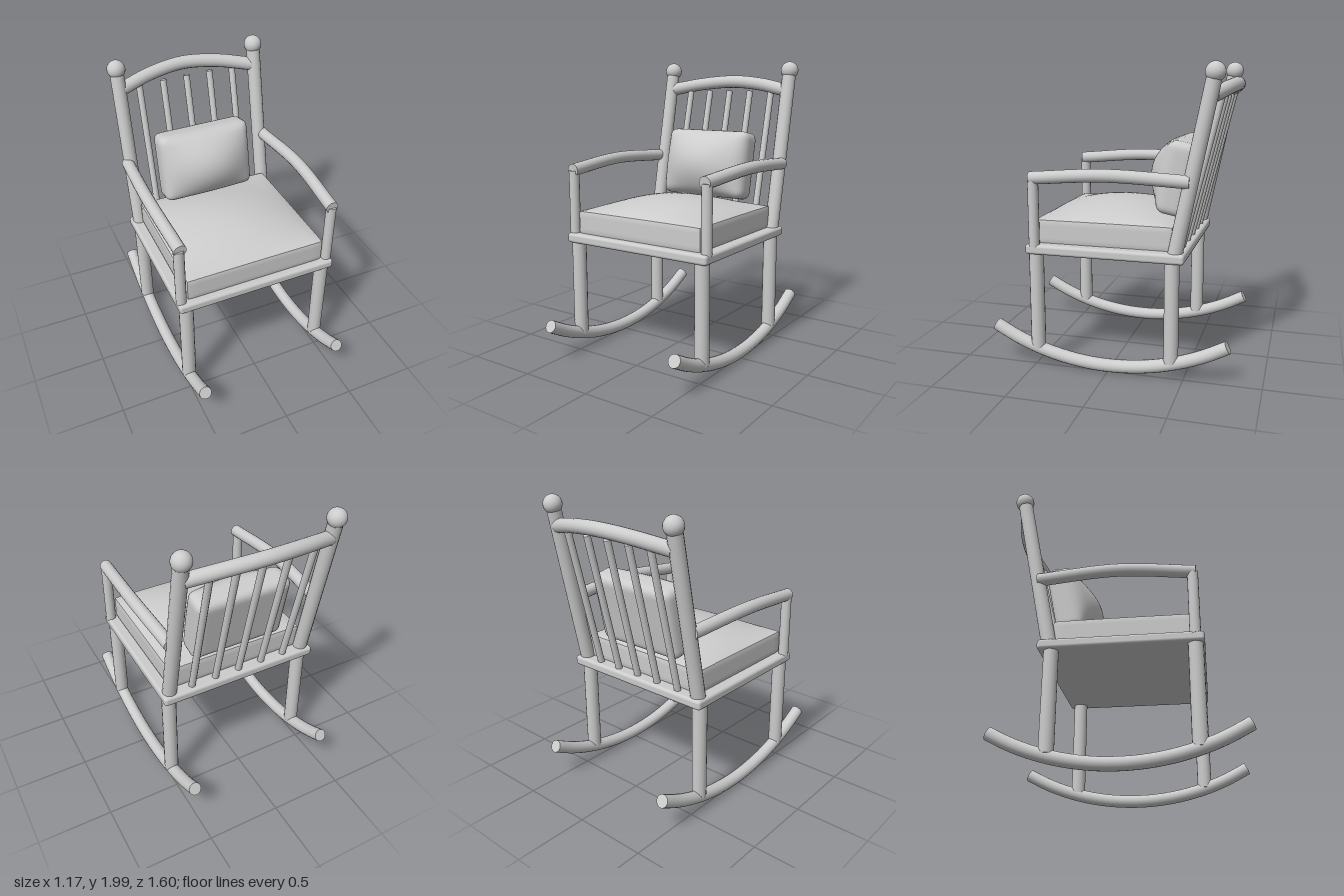
import * as THREE from 'three';
import { mergeVertices, toCreasedNormals } from 'three/addons/utils/BufferGeometryUtils.js';
import { RoundedBoxGeometry } from 'three/addons/geometries/RoundedBoxGeometry.js';

const V = (x, y, z) => new THREE.Vector3(x, y, z);

// Box with softened edges and a domed top face
function cushionGeometry(w, h, d, r, dome) {
  let g = new THREE.BoxGeometry(w, h, d, 24, 8, 24);
  g.deleteAttribute('uv');
  g.deleteAttribute('normal');
  g = mergeVertices(g);
  const pos = g.attributes.position;
  const limit = V(w / 2 - r, h / 2 - r, d / 2 - r);
  const low = limit.clone().negate();
  const p = V(0, 0, 0);
  for (let i = 0; i < pos.count; i++) {
    p.fromBufferAttribute(pos, i);
    const inner = p.clone().clamp(low, limit);
    p.sub(inner).normalize().multiplyScalar(r).add(inner);
    if (p.y > h / 2 - r + 1e-4) {
      const u = (2 * p.x) / w, v = (2 * p.z) / d;
      p.y += dome * (1 - u * u) * (1 - v * v);
    }
    pos.setXYZ(i, p.x, p.y, p.z);
  }
  return toCreasedNormals(g, 0.6);
}

export function createModel() {
  const model = new THREE.Group();
  model.name = 'rockingChair';
  const grey = new THREE.MeshStandardMaterial({ color: 0xcccccc });
  grey.name = 'light grey';

  function add(name, geometry, position, parent = model) {
    const mesh = new THREE.Mesh(geometry, grey);
    mesh.name = name;
    if (position) mesh.position.copy(position);
    parent.add(mesh);
    return mesh;
  }

  // Straight round bar between two points
  function bar(name, a, b, r, sides = 16) {
    const dir = b.clone().sub(a);
    const mesh = add(name, new THREE.CylinderGeometry(r, r, dir.length(), sides),
      a.clone().add(b).multiplyScalar(0.5));
    mesh.quaternion.setFromUnitVectors(V(0, 1, 0), dir.normalize());
    return mesh;
  }

  // Bent round bar with closed ends
  function bentBar(name, points, r) {
    const group = new THREE.Group();
    group.name = name;
    model.add(group);
    const curve = new THREE.CatmullRomCurve3(points);
    add(name + 'Tube', new THREE.TubeGeometry(curve, 28, r, 16), null, group);
    for (const t of [0, 1]) {
      const out = curve.getTangent(t).multiplyScalar(t ? 1 : -1);
      const cap = add(name + 'End', new THREE.CircleGeometry(r, 16), curve.getPoint(t), group);
      cap.quaternion.setFromUnitVectors(V(0, 0, 1), out);
    }
  }

  // Seat board and cushions
  add('seatBoard', new RoundedBoxGeometry(1.12, 0.065, 1.04, 3, 0.02), V(0, 0.812, 0.017));
  add('seatCushion', cushionGeometry(0.98, 0.16, 0.91, 0.015, 0.092), V(0, 0.92, 0.035));
  const pillow = add('backPillow', cushionGeometry(0.66, 0.18, 0.48, 0.05, 0.13), V(0, 1.268, -0.4));
  pillow.rotation.x = Math.PI / 2 - 0.2;

  for (const s of [1, -1]) {
    const side = s > 0 ? 'left' : 'right';

    // Rocker: a circular arc
    const R = 1.553, half = Math.asin(0.78 / R), arc = [];
    for (let i = 0; i <= 10; i++) {
      const a = half * (1 - i / 5);
      arc.push(V(s * 0.5, 0.05 + R * (1 - Math.cos(a)), R * Math.sin(a)));
    }
    bentBar(side + 'Rocker', arc, 0.043);

    // Legs
    bar(side + 'FrontLeg', V(s * 0.5, 0.13, 0.48), V(s * 0.5, 0.8, 0.48), 0.048);
    bar(side + 'BackLeg', V(s * 0.5, 0.12, -0.42), V(s * 0.5, 0.8, -0.42), 0.048);

    // Arm rest and its post
    bar(side + 'ArmPost', V(s * 0.53, 0.83, 0.48), V(s * 0.53, 1.27, 0.48), 0.035);
    bentBar(side + 'ArmRest',
      [V(s * 0.525, 1.275, 0.5), V(s * 0.545, 1.312, 0), V(s * 0.522, 1.29, -0.525)], 0.042);

    // Back post with ball finial
    bar(side + 'BackPost', V(s * 0.5, 0.83, -0.437), V(s * 0.5, 1.94, -0.66), 0.048);
    add(side + 'Finial', new THREE.SphereGeometry(0.062, 20, 14), V(s * 0.5, 1.938, -0.66));
  }

  // Crest rail and spindles
  bentBar('crestRail', [V(-0.48, 1.8, -0.64), V(-0.25, 1.841, -0.705), V(0, 1.86, -0.737),
    V(0.25, 1.841, -0.705), V(0.48, 1.8, -0.64)], 0.046);
  for (let i = -2; i <= 2; i++) {
    bar('spindle', V(i * 0.173, 0.83, -0.45), V(i * 0.173, 1.79, -0.68), 0.023, 12);
  }

  return model;
}
